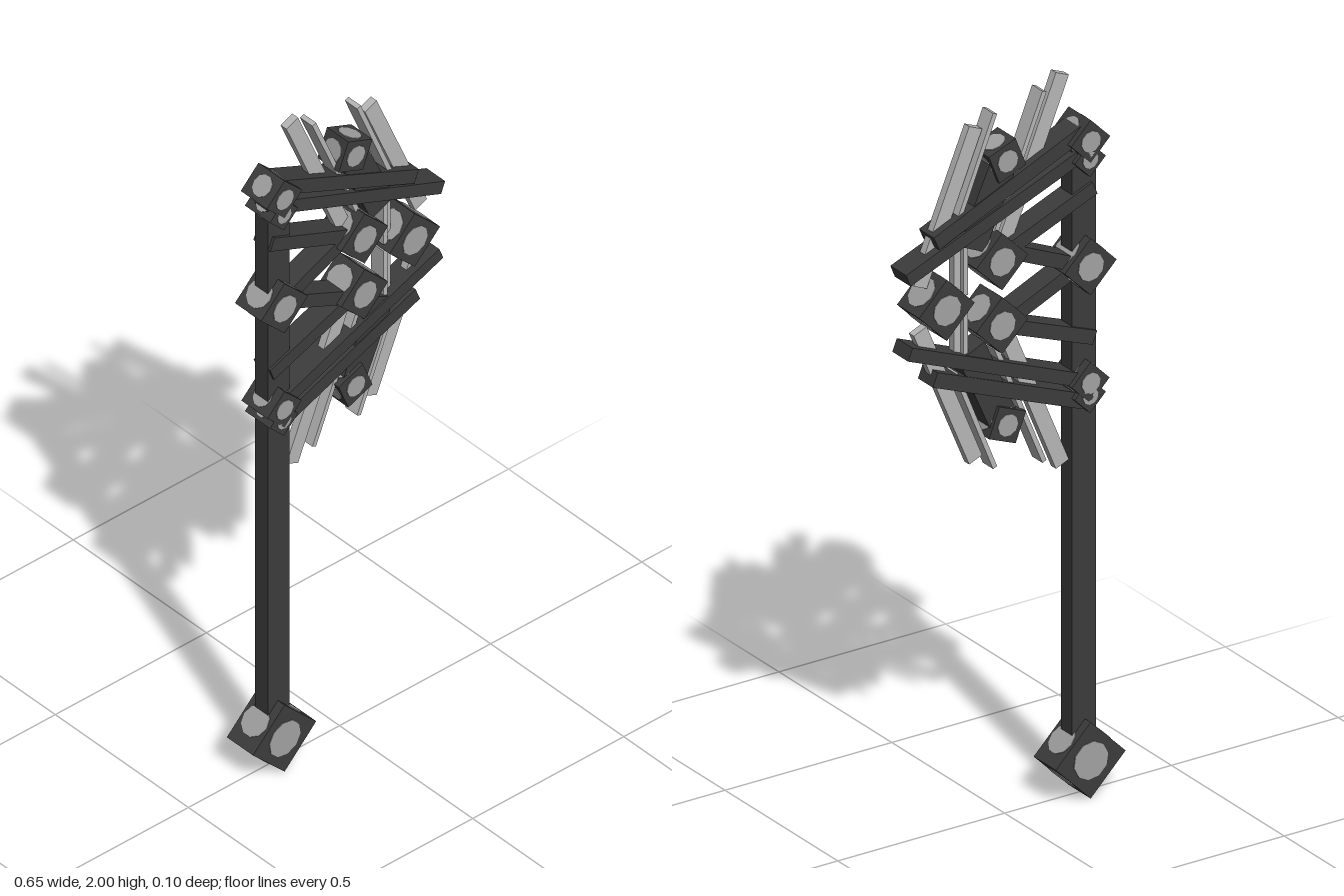
import * as THREE from 'three';

const mat = (name, color) => {
  const m = new THREE.MeshStandardMaterial({ color });
  m.name = name;
  return m;
};

export function createModel() {
  const dark = mat('dark iron', 0x3c3c3c);
  const steel = mat('pale steel', 0xb6b6b6);
  const stud = mat('stud grey', 0xa2a2a2);
  const root = new THREE.Group();
  root.name = 'battleAxe';

  // Box beam running between two points in the xy plane
  function beam(name, x1, y1, x2, y2, width, depth, material) {
    const len = Math.hypot(x2 - x1, y2 - y1);
    const mesh = new THREE.Mesh(new THREE.BoxGeometry(len, width, depth), material);
    mesh.position.set((x1 + x2) / 2, (y1 + y2) / 2, 0);
    mesh.rotation.z = Math.atan2(y2 - y1, x2 - x1);
    mesh.name = name;
    root.add(mesh);
  }

  // Block turned about z, with a round inlay on each of its six faces
  function studdedBlock(name, x, y, side, angle = Math.PI / 4, depth = 0.098) {
    const g = new THREE.Group();
    g.name = name;
    const block = new THREE.Mesh(new THREE.BoxGeometry(side, side, depth), dark);
    block.name = 'block';
    g.add(block);
    const t = 0.004;
    const add = (r, px, py, pz, rx, rz) => {
      const inlay = new THREE.Mesh(new THREE.CylinderGeometry(r, r, t, 10), stud);
      inlay.position.set(px, py, pz);
      inlay.rotation.set(rx, 0, rz);
      inlay.name = 'inlay';
      g.add(inlay);
    };
    const rFront = side * 0.35, rSide = Math.min(side * 0.36, 0.042);
    for (const s of [1, -1]) {
      add(rFront, 0, 0, s * depth / 2, Math.PI / 2, 0);
      add(rSide, 0, s * side / 2, 0, 0, 0);
      add(rSide, s * side / 2, 0, 0, 0, Math.PI / 2);
    }
    g.position.set(x, y, 0);
    g.rotation.z = angle;
    root.add(g);
  }

  // Shaft and pommel
  beam('shaft', -0.222, 0.12, -0.222, 1.8, 0.072, 0.048, dark);
  studdedBlock('pommel', -0.225, 0.107, 0.148);

  // Blocks along the shaft
  studdedBlock('upperShaftBlock', -0.225, 1.803, 0.083);
  studdedBlock('upperShaftSmallBlock', -0.225, 1.752, 0.066, Math.PI / 4, 0.094);
  studdedBlock('middleShaftBlock', -0.225, 1.46, 0.11);
  studdedBlock('lowerShaftBlock', -0.225, 1.142, 0.08);
  studdedBlock('lowerShaftSmallBlock', -0.225, 1.105, 0.066, Math.PI / 4, 0.094);

  // Blocks within the axe head
  studdedBlock('upperInnerBlock', 0.04, 1.543, 0.11);
  studdedBlock('lowerInnerBlock', 0.04, 1.368, 0.11);
  studdedBlock('edgeBlock', 0.206, 1.453, 0.118);
  studdedBlock('upperTipBlock', 0.018, 1.81, 0.086, -0.38, 0.08);
  studdedBlock('lowerTipBlock', 0.018, 1.086, 0.086, 0.38, 0.08);

  // Dark frame: long spars, cross ribs and short struts to the shaft
  const spars = [
    ['upperOuterSpar', -0.22, 1.828, 0.226, 1.634, 0.04, 0.066],
    ['upperLongSpar', -0.2, 1.76, 0.312, 1.556, 0.036, 0.07],
    ['upperRib', 0.018, 1.81, 0.118, 1.59, 0.084, 0.06],
    ['upperStrut', -0.25, 1.663, 0.04, 1.545, 0.038, 0.064],
    ['upperMiddleStrut', -0.22, 1.455, 0.04, 1.57, 0.038, 0.062],
    ['lowerMiddleStrut', -0.22, 1.465, 0.04, 1.35, 0.038, 0.064],
    ['lowerStrut', -0.25, 1.252, 0.04, 1.362, 0.038, 0.062],
    ['lowerRib', 0.018, 1.086, 0.118, 1.31, 0.084, 0.06],
    ['lowerLongSpar', -0.22, 1.142, 0.306, 1.352, 0.036, 0.07],
    ['lowerOuterSpar', -0.22, 1.085, 0.23, 1.262, 0.04, 0.066],
  ];
  for (const s of spars) beam(...s, dark);

  // Pale blades, mirrored above and below the middle of the head
  const midY = 1.455;
  for (const [side, s] of [['upper', 1], ['lower', -1]]) {
    const blade = (name, x1, y1, x2, y2, w, d) =>
      beam(side + name, x1, midY + s * y1, x2, midY + s * y2, w, d, steel);
    blade('RearBlade', -0.166, 0.535, 0.015, 0.1, 0.042, 0.022);
    blade('RearThinBlade', -0.104, 0.507, 0.04, 0.16, 0.013, 0.046);
    blade('FrontThinBlade', 0.044, 0.485, 0.16, 0.2, 0.013, 0.046);
    blade('FrontBlade', 0.094, 0.455, 0.26, 0.06, 0.042, 0.022);
    blade('EdgePlate', 0.132, 0.01, 0.132, 0.19, 0.014, 0.046);
    blade('EdgeRib', 0.148, 0.02, 0.148, 0.19, 0.022, 0.022);
  }

  return root;
}
